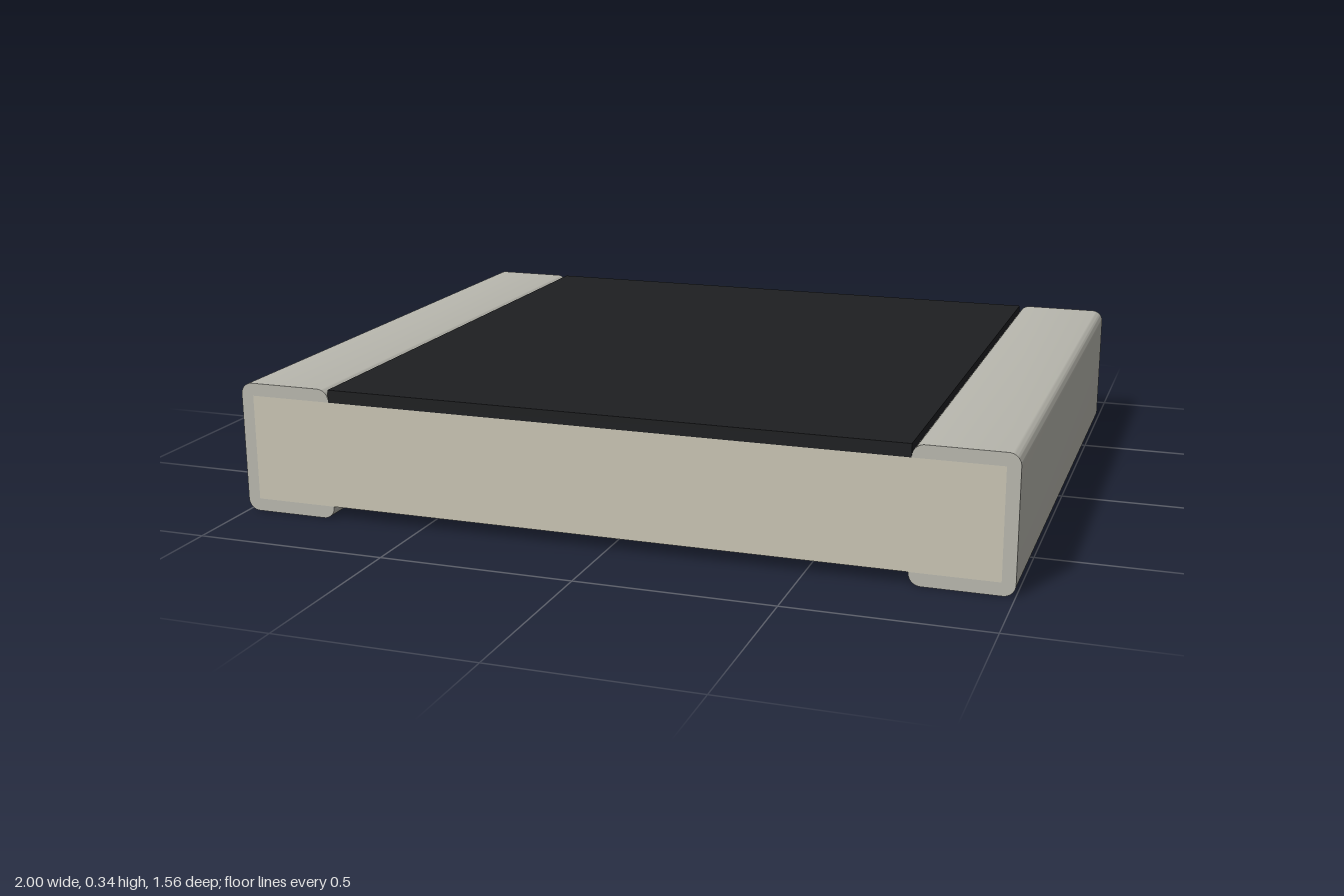
import * as THREE from 'three';
import { toCreasedNormals } from 'three/addons/utils/BufferGeometryUtils.js';

const DEPTH = 1.56, HEIGHT = 0.343, WALL = 0.033, INNER = 0.75, R = 0.03;

function addBox(group, name, width, y0, y1, material) {
  const mesh = new THREE.Mesh(new THREE.BoxGeometry(width, y1 - y0, DEPTH), material);
  mesh.position.y = (y0 + y1) / 2;
  mesh.name = name;
  group.add(mesh);
}

// C-shaped metal cap, rounded on its four outer corners
function terminalGeometry() {
  const s = new THREE.Shape();
  s.moveTo(INNER, WALL);
  s.lineTo(INNER, R);
  s.absarc(INNER + R, R, R, Math.PI, Math.PI * 1.5);
  s.absarc(1 - R, R, R, -Math.PI / 2, 0);
  s.absarc(1 - R, HEIGHT - R, R, 0, Math.PI / 2);
  s.absarc(INNER + R, HEIGHT - R, R, Math.PI / 2, Math.PI);
  s.lineTo(INNER, HEIGHT - WALL);
  s.lineTo(1 - WALL, HEIGHT - WALL);
  s.lineTo(1 - WALL, WALL);
  s.closePath();
  const g = new THREE.ExtrudeGeometry(s, { depth: DEPTH, bevelEnabled: false, curveSegments: 8 });
  g.translate(0, 0, -DEPTH / 2);
  return toCreasedNormals(g, 0.6);
}

export function createModel() {
  const model = new THREE.Group();
  model.name = 'chipResistor';
  const ceramic = new THREE.MeshStandardMaterial({ color: 0xc9c5b4 });
  const metal = new THREE.MeshStandardMaterial({ color: 0xb8b7ae });
  const coating = new THREE.MeshStandardMaterial({ color: 0x1e1f21 });

  // Ceramic slab and the dark coating on top of it
  addBox(model, 'ceramicBody', 2 * (1 - WALL), WALL, HEIGHT - WALL, ceramic);
  addBox(model, 'topCoating', 2 * INNER, HEIGHT - WALL, HEIGHT, coating);

  // Matching end caps
  const cap = terminalGeometry();
  for (const [name, turn] of [['leftTerminal', 0], ['rightTerminal', Math.PI]]) {
    const mesh = new THREE.Mesh(cap, metal);
    mesh.name = name;
    mesh.rotation.y = turn;
    model.add(mesh);
  }
  return model;
}
